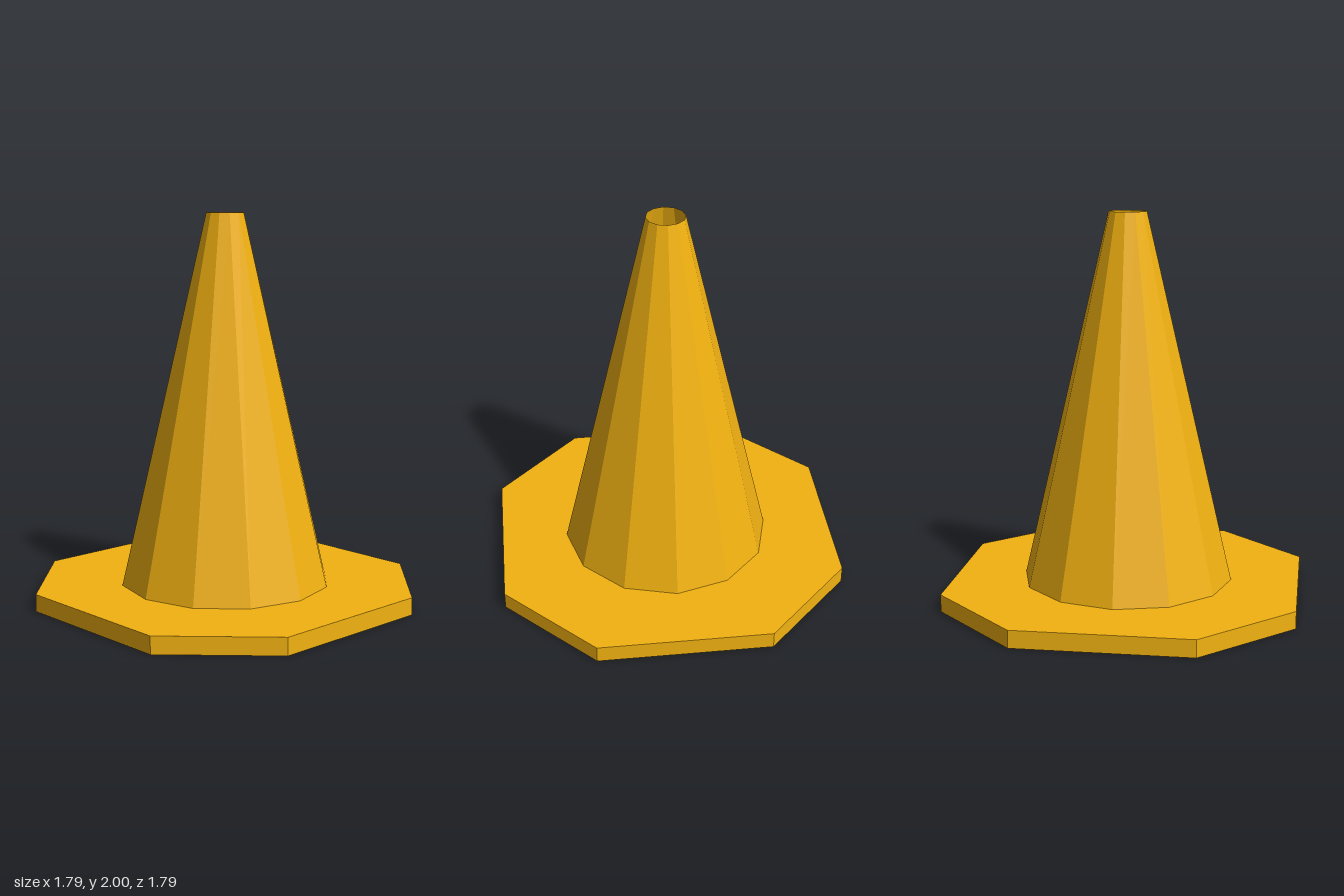
import * as THREE from 'three';

export function createModel() {
  const group = new THREE.Group();
  const material = new THREE.MeshStandardMaterial({
    color: 0xf2b211, flatShading: true, side: THREE.DoubleSide,
  });
  const add = (name, geometry) => {
    const mesh = new THREE.Mesh(geometry, material);
    mesh.name = name;
    group.add(mesh);
    return mesh;
  };

  const baseHeight = 0.09, half = 0.895, flat = 0.447;

  // Octagon outline of the base: a square with cut corners
  const corners = [
    [half, -flat], [half, flat], [flat, half], [-flat, half],
    [-half, flat], [-half, -flat], [-flat, -half], [flat, -half],
  ].map(([x, y]) => new THREE.Vector2(x, y));

  // Flat top of the base, open underneath
  const plate = new THREE.ShapeGeometry(new THREE.Shape(corners));
  plate.rotateX(-Math.PI / 2);
  add('basePlate', plate).position.y = baseHeight;

  // Upright rim around the base, one quad per side
  const positions = [], indices = [];
  corners.forEach((a, i) => {
    const b = corners[(i + 1) % corners.length];
    positions.push(a.x, 0, -a.y, b.x, 0, -b.y, b.x, baseHeight, -b.y, a.x, baseHeight, -a.y);
    const n = i * 4;
    indices.push(n, n + 1, n + 2, n, n + 2, n + 3);
  });
  const rim = new THREE.BufferGeometry();
  rim.setAttribute('position', new THREE.Float32BufferAttribute(positions, 3));
  rim.setIndex(indices);
  rim.computeVertexNormals();
  add('baseRim', rim);

  // Hollow twelve-sided cone, reaching slightly below the plate
  const coneBottom = 0.06, coneHeight = 2 - coneBottom;
  const cone = new THREE.CylinderGeometry(0.098, 0.553, coneHeight, 12, 1, true);
  add('cone', cone).position.y = coneBottom + coneHeight / 2;

  return group;
}
